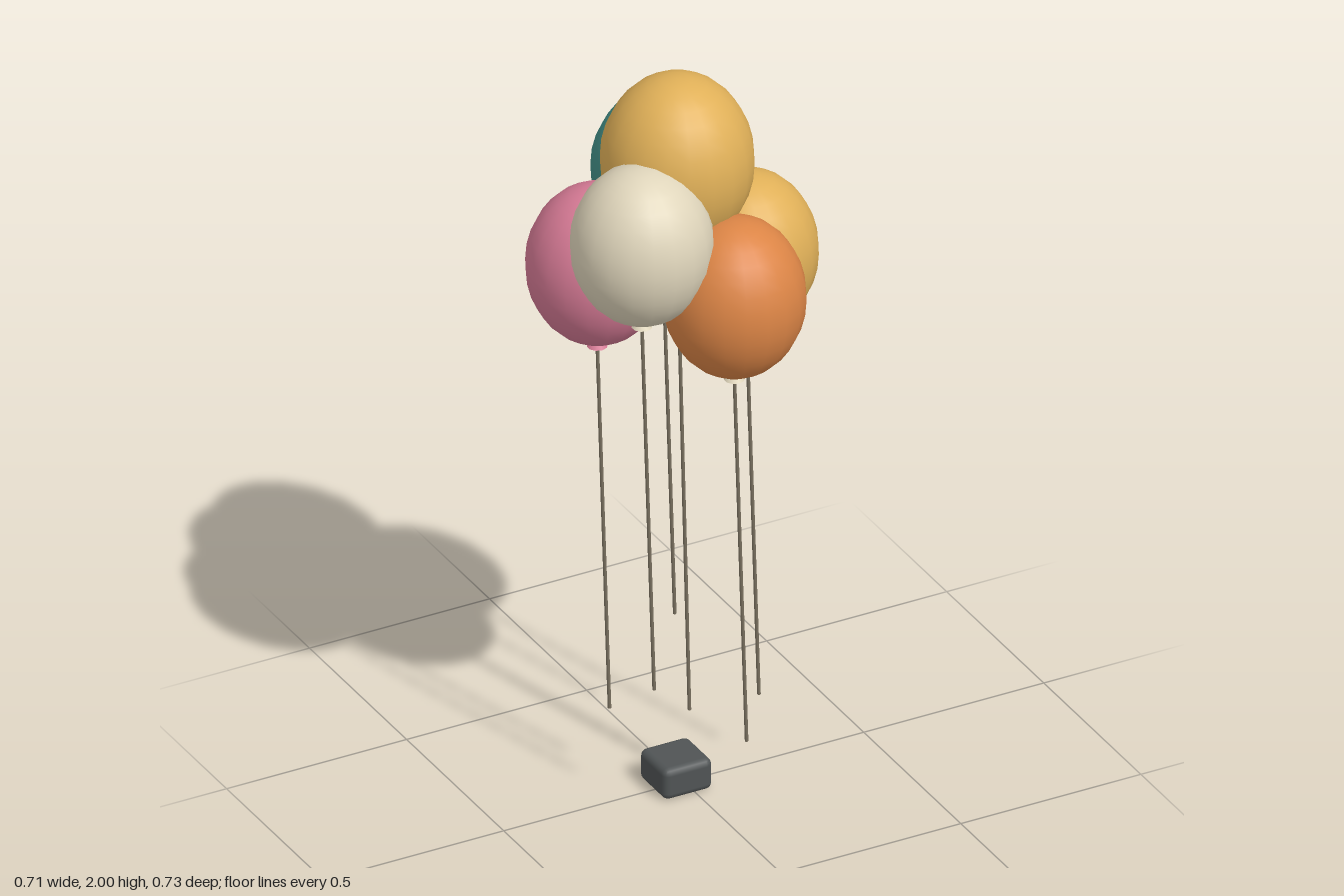
import * as THREE from 'three';
import { RoundedBoxGeometry } from 'three/addons/geometries/RoundedBoxGeometry.js';

const material = (name, color) => {
  const m = new THREE.MeshStandardMaterial({ color });
  m.name = name;
  return m;
};

export function createModel() {
  const group = new THREE.Group();
  group.name = 'balloonBunch';

  const yellow = material('yellow', 0xe0b058);
  const orange = material('orange', 0xdc8546);
  const teal = material('teal', 0x428e86);
  const pink = material('pink', 0xd67a95);
  const cream = material('cream', 0xdfd5bb);
  const stringGrey = material('stringGrey', 0x7a7160);
  const weightGrey = material('weightGrey', 0x505455);

  const add = (parent, name, geometry, mat, x, y, z) => {
    const mesh = new THREE.Mesh(geometry, mat);
    mesh.name = name;
    mesh.position.set(x, y, z);
    parent.add(mesh);
    return mesh;
  };

  // name, skin, knot, x, centre y, z, radius, half height, string end y
  const balloons = [
    ['topBalloon', yellow, cream, -0.018, 1.77, 0, 0.191, 0.23, 0.2],
    ['leftBalloon', yellow, cream, 0.175, 1.461, 0, 0.178, 0.212, 0.19],
    ['frontBalloon', orange, cream, 0.041, 1.461, 0.185, 0.178, 0.212, 0.19],
    ['backRightBalloon', pink, pink, -0.178, 1.461, -0.115, 0.178, 0.212, 0.19],
    ['frontRightBalloon', cream, cream, -0.178, 1.634, 0.115, 0.178, 0.212, 0.36],
    ['backBalloon', teal, teal, 0.041, 1.634, -0.185, 0.178, 0.212, 0.36],
  ];

  for (const [name, skin, knotMat, x, y, z, radius, half, endY] of balloons) {
    const balloon = new THREE.Group();
    balloon.name = name;
    group.add(balloon);

    // Egg-shaped skin
    const skinGeometry = new THREE.SphereGeometry(1, 20, 16).scale(radius, half, radius);
    add(balloon, 'skin', skinGeometry, skin, x, y, z);

    // Flared knot
    const knotY = y - half - 0.008;
    add(balloon, 'knot', new THREE.CylinderGeometry(0.006, 0.026, 0.028, 10), knotMat, x, knotY, z);

    // Slightly leaning string
    const startY = knotY - 0.012;
    const path = new THREE.LineCurve3(
      new THREE.Vector3(x, startY, z), new THREE.Vector3(x + 0.034, endY, z));
    add(balloon, 'string', new THREE.TubeGeometry(path, 1, 0.0045, 6), stringGrey, 0, 0, 0);
  }

  // Weight on the ground
  add(group, 'weight', new RoundedBoxGeometry(0.136, 0.086, 0.136, 2, 0.018), weightGrey,
    -0.021, 0.043, 0);

  return group;
}
